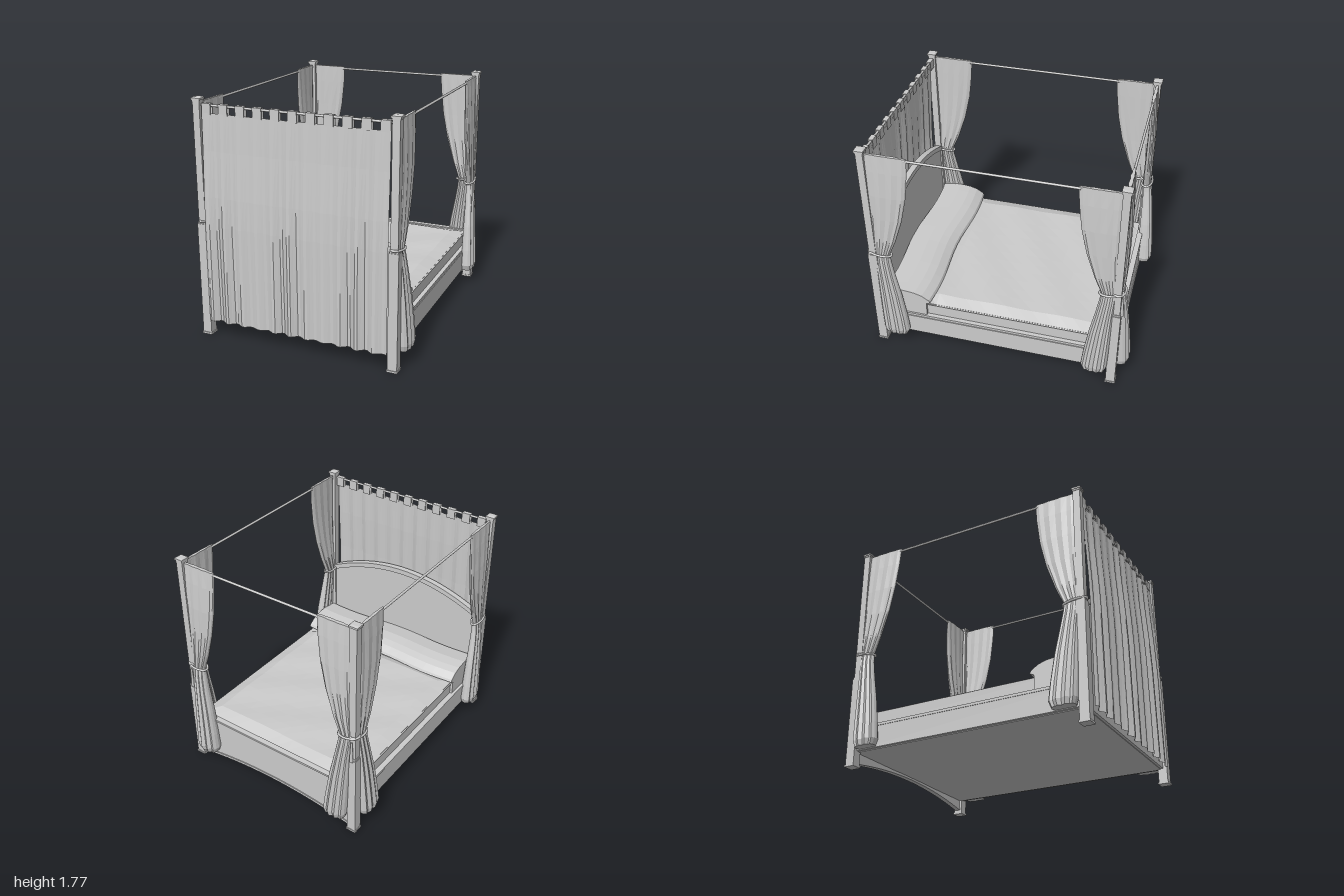
import * as THREE from 'three';

const PX = 0.728, FZ = 0.935, BZ = -0.88; // post centres
const smooth = new THREE.MeshStandardMaterial({ color: 0xcccccc });
const cloth = new THREE.MeshStandardMaterial({ color: 0xcccccc, flatShading: true, side: THREE.DoubleSide });

export function createModel() {
  const model = new THREE.Group();
  const add = (name, geo, mat = smooth, parent = model) => {
    const mesh = new THREE.Mesh(geo, mat);
    mesh.name = name;
    parent.add(mesh);
    return mesh;
  };
  // Box given by its limits
  const box = (name, x0, x1, y0, y1, z0, z1, parent) =>
    add(name, new THREE.BoxGeometry(x1 - x0, y1 - y0, z1 - z0)
      .translate((x0 + x1) / 2, (y0 + y1) / 2, (z0 + z1) / 2), smooth, parent);
  // Quad grid from a point function f(row, column)
  const grid = (rows, cols, f) => {
    const pos = [], idx = [];
    for (let i = 0; i <= rows; i++) for (let j = 0; j <= cols; j++) pos.push(...f(i, j));
    for (let i = 0; i < rows; i++) for (let j = 0; j < cols; j++) {
      const a = i * (cols + 1) + j, b = a + cols + 1;
      idx.push(a, b, a + 1, a + 1, b, b + 1);
    }
    const g = new THREE.BufferGeometry();
    g.setAttribute('position', new THREE.Float32BufferAttribute(pos, 3));
    g.setIndex(idx);
    g.computeVertexNormals();
    return g;
  };
  // Board between a lower and an upper edge curve
  const board = (name, lower, upper, z0, z1) => {
    const pts = [], n = 24, w = 0.705;
    for (let i = 0; i <= n; i++) { const x = -w + 2 * w * i / n; pts.push(new THREE.Vector2(x, lower(x))); }
    for (let i = n; i >= 0; i--) { const x = -w + 2 * w * i / n; pts.push(new THREE.Vector2(x, upper(x))); }
    add(name, new THREE.ExtrudeGeometry(new THREE.Shape(pts), { depth: z1 - z0, bevelEnabled: false }).translate(0, 0, z0));
  };
  const rod = (name, ax, az, bx, bz) => add(name, new THREE.TubeGeometry(new THREE.LineCurve3(
    new THREE.Vector3(ax, 1.717, az), new THREE.Vector3(bx, 1.717, bz)), 1, 0.009, 10));

  // Corner posts: thick lower part, slim upper part, stepped cap and foot
  for (const s of [-1, 1]) for (const z of [FZ, BZ]) {
    const post = new THREE.Group();
    post.name = z > 0 ? 'headPost' : 'footPost';
    post.position.set(s * PX, 0, z);
    const top = z > 0 ? 0.86 : 0.68;
    const sq = (name, h, y0, y1) => box(name, -h, h, y0, y1, -h, h, post);
    sq('foot', 0.04, 0, 0.015);
    sq('lowerPost', 0.035, 0.015, top);
    sq('collar', 0.031, top, top + 0.015);
    sq('upperPost', 0.027, top + 0.015, 1.74);
    sq('capNeck', 0.03, 1.74, 1.752);
    sq('cap', 0.035, 1.752, 1.765);
    const tip = add('capTip', new THREE.CylinderGeometry(0.03, 0.049, 0.008, 4), smooth, post);
    tip.rotation.y = Math.PI / 4;
    tip.position.y = 1.769;
    model.add(post);
  }

  // Canopy rods
  rod('sideRod', PX, FZ, PX, BZ);
  rod('sideRod', -PX, FZ, -PX, BZ);
  rod('headRod', -PX, FZ, PX, FZ);
  rod('footRod', -PX, BZ, PX, BZ);

  // Arched headboard and footboard with trim
  const bow = x => 1 - (x / 0.705) ** 2;
  const headTop = x => 0.88 + 0.175 * bow(x), footLow = x => 0.03 + 0.07 * bow(x);
  board('headboard', () => 0.12, headTop, 0.912, 0.94);
  board('headboardTrim', x => headTop(x) - 0.03, x => headTop(x) + 0.012, 0.9, 0.95);
  board('footboard', footLow, () => 0.405, -0.895, -0.865);
  board('footboardTrim', footLow, x => footLow(x) + 0.02, -0.902, -0.86);
  box('footboardCap', -0.705, 0.705, 0.4, 0.415, -0.902, -0.858);

  // Side rails, base, mattress and blanket
  for (const s of [-1, 1]) {
    const x = s * 0.718;
    box('sideRail', x - 0.016, x + 0.016, 0.12, 0.28, BZ, FZ);
    box('railLedge', x - 0.02, x + 0.01, 0.28, 0.3, BZ, FZ);
  }
  box('bedBase', -0.71, 0.71, 0.115, 0.3, -0.87, 0.92);
  box('mattress', -0.695, 0.695, 0.3, 0.405, -0.86, 0.9);
  add('blanket', grid(14, 14, (i, j) => {
    const u = j / 7 - 1, edge = j === 0 || j === 14 || i === 0 || i === 14;
    return [u * 0.705, edge ? 0.4 : 0.434 + 0.004 * Math.sin(i * 1.3 + j * 0.7), -0.862 + 1.46 * i / 14];
  }), cloth);

  // Pillow bolster across the head with a wavy front lip
  const profile = [[0.9, 0.3], [0.565, 0.3], [0.565, 0.415], [0.535, 0.43], [0.545, 0.45],
    [0.6, 0.485], [0.66, 0.503], [0.75, 0.512], [0.9, 0.49]].map(([z, y]) => new THREE.Vector2(-z, y));
  const bolster = new THREE.ExtrudeGeometry(new THREE.Shape(profile), { depth: 1.43, steps: 16, bevelEnabled: false })
    .rotateY(Math.PI / 2).translate(-0.715, 0, 0);
  const bp = bolster.attributes.position;
  for (let i = 0; i < bp.count; i++) if (bp.getY(i) > 0.42)
    bp.setZ(i, bp.getZ(i) + 0.014 * Math.cos(bp.getX(i) * 6.5));
  bolster.computeVertexNormals();
  add('bolster', bolster, cloth);

  // Head curtain: pleats deepen toward the hem and it hangs over the headboard
  const rows = [[1.665, 0.95, 0.006], [1.4, 0.957, 0.009], [1.07, 0.973, 0.012], [0.86, 0.978, 0.015],
    [0.5, 0.979, 0.017], [0.125, 0.979, 0.02]];
  add('headCurtain', grid(rows.length - 1, 66, (i, j) => {
    const [y, z, amp] = rows[i], t = j / 66;
    const wave = Math.sin(t * Math.PI * 22) * (0.75 + 0.25 * Math.sin(t * 17));
    return [-0.692 + 1.384 * t, y, z + amp * wave];
  }), cloth);
  for (let i = -5; i <= 5; i++) {
    const x = i * 0.131;
    box('curtainTab', x - 0.034, x + 0.034, 1.655, 1.732, 0.946, 0.953);
    box('curtainTab', x - 0.034, x + 0.034, 1.655, 1.732, 0.917, 0.922);
    box('curtainTabTop', x - 0.034, x + 0.034, 1.727, 1.732, 0.917, 0.953);
  }

  // Tied drapes: [height, near edge, far edge, outward offset, half thickness]
  const drapeRows = [[1.735, 0.02, 0.33, 0, 0.012], [1.6, 0.02, 0.322, 0.004, 0.018], [1.4, 0.02, 0.297, 0.008, 0.023],
    [1.2, 0.02, 0.252, 0.008, 0.025], [1.0, 0.015, 0.185, 0.006, 0.027], [0.87, 0.01, 0.128, 0.003, 0.026],
    [0.8, 0.012, 0.135, 0.01, 0.03], [0.68, 0.02, 0.157, 0.018, 0.036], [0.5, 0.025, 0.195, 0.027, 0.044],
    [0.3, 0.03, 0.226, 0.034, 0.052], [0.17, 0.035, 0.24, 0.038, 0.056], [0.125, 0.05, 0.222, 0.036, 0.048]];
  const last = drapeRows.length - 1;
  const drape = (name, place) => add(name, grid(last + 2, 20, (i, j) => {
    const [y, a, b, off, t] = drapeRows[Math.min(Math.max(i - 1, 0), last)];
    const closed = i === 0 || i === last + 2 ? 0 : 1; // first and last rings close the ends
    const ang = (j % 20) / 20 * Math.PI * 2;
    const fold = j % 2 ? 0.72 : 1;
    const u = (a + b) / 2 + closed * (b - a) / 2 * Math.cos(ang);
    return place(u, y, off + closed * t * fold * Math.sign(Math.sin(ang)) * Math.abs(Math.sin(ang)) ** 0.6);
  }), cloth);
  // Tie-back loop around post and drape, sloping down toward the far side
  const tie = (name, place) => {
    const pts = [];
    for (let i = 0; i < 12; i++) {
      const a = i / 12 * Math.PI * 2, u = 0.05 + 0.09 * Math.cos(a);
      pts.push(new THREE.Vector3(...place(u, 0.875 - 0.12 * u, 0.038 * Math.sin(a))));
    }
    add(name, new THREE.TubeGeometry(new THREE.CatmullRomCurve3(pts, true), 24, 0.009, 6, true));
  };
  for (const s of [-1, 1]) {
    const head = (u, y, v) => [s * (PX + v), y, FZ - u];
    const footSide = (u, y, v) => [s * (PX + v), y, BZ + u * 0.95];
    const footBack = (u, y, v) => [s * (PX - u * 0.9), y, BZ - v * 1.25];
    drape('headDrape', head);
    drape('footSideDrape', footSide);
    drape('footBackDrape', footBack);
    tie('headTie', head);
    tie('footSideTie', footSide);
    tie('footBackTie', footBack);
    // Hanging tassel on the foot post
    add('tassel', new THREE.CylinderGeometry(0.007, 0.014, 0.17, 8).translate(s * PX, 0.755, BZ - 0.036));
  }
  return model;
}
